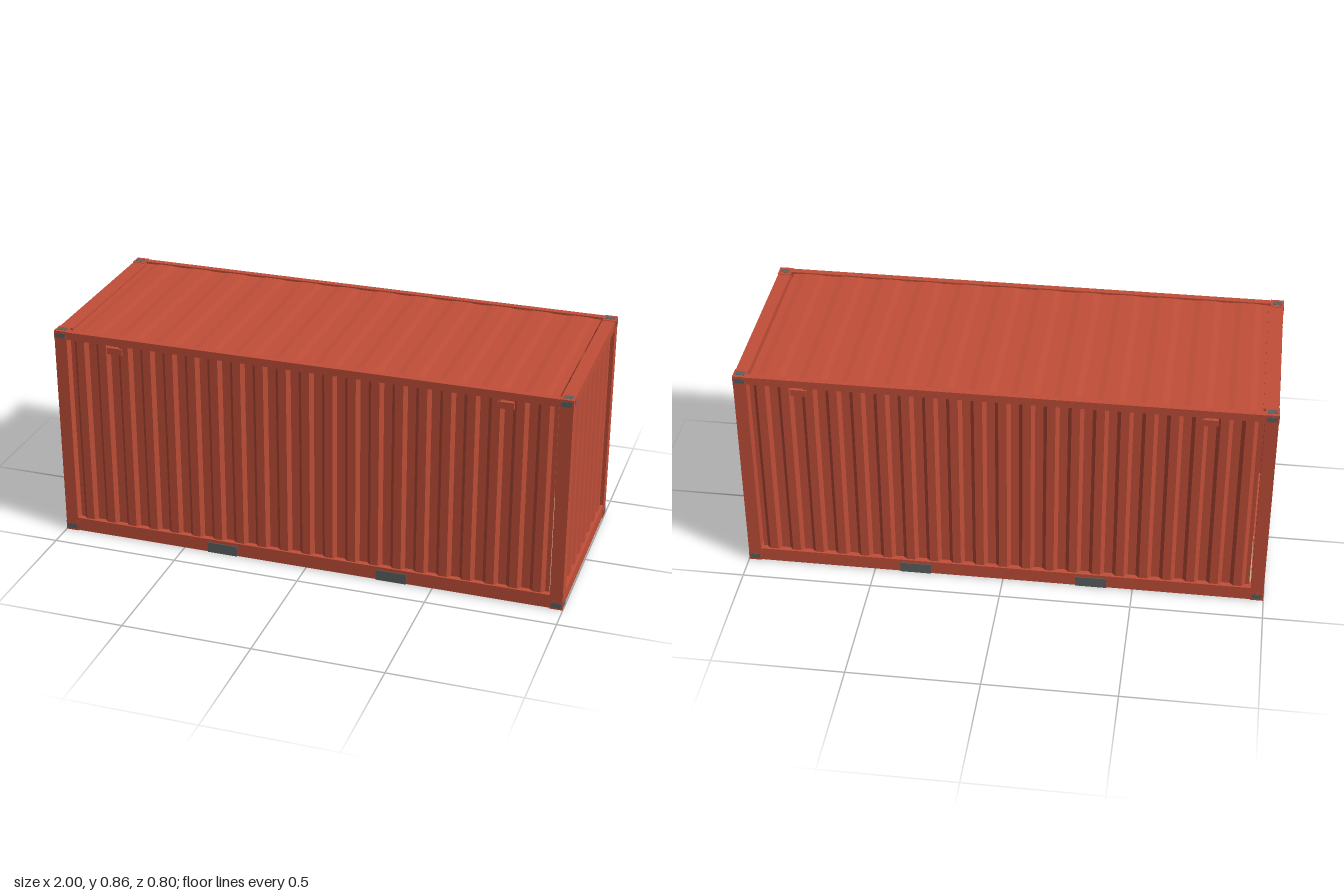
import * as THREE from 'three';

const material = (name, color) => {
  const m = new THREE.MeshStandardMaterial({ color });
  m.name = name;
  return m;
};

export function createModel() {
  const model = new THREE.Group();
  model.name = 'cargoContainer';
  const red = material('containerRed', 0xc24f39);
  const grey = material('fittingGrey', 0x5d6262);
  const dark = material('darkSteel', 0x464c4e);
  const wood = material('floorWood', 0xc2ab88);

  const add = (name, geometry, mat, parent = model) => {
    const mesh = new THREE.Mesh(geometry, mat);
    mesh.name = name;
    parent.add(mesh);
    return mesh;
  };
  // Box given by its lower and upper limits
  const box = (name, mat, [x0, x1], [y0, y1], [z0, z1], parent = model) => {
    const mesh = add(name, new THREE.BoxGeometry(x1 - x0, y1 - y0, z1 - z0), mat, parent);
    mesh.position.set((x0 + x1) / 2, (y0 + y1) / 2, (z0 + z1) / 2);
    return mesh;
  };
  // The same limits mirrored for the negative side
  const side = (s, a, b) => (s > 0 ? [a, b] : [-b, -a]);

  // Trapezoid-ribbed sheet: ribs run along the extrusion, ridges point to +y of the section
  const ribbedSheet = (length, periods, depth, extent) => {
    const p = length / periods, flat = p * 0.345, slope = p * 0.155, t = 0.004;
    const line = [[-length / 2, -depth]];
    for (let i = 0; i < periods; i++) {
      const x = -length / 2 + i * p + flat / 2;
      line.push([x, -depth], [x + slope, 0], [x + slope + flat, 0], [x + 2 * slope + flat, -depth]);
    }
    line.push([length / 2, -depth]);
    const back = line.map(([x, y]) => [x, y - t]).reverse();
    const shape = new THREE.Shape([...line, ...back].map(([x, y]) => new THREE.Vector2(x, y)));
    return new THREE.ExtrudeGeometry(shape, { depth: extent, bevelEnabled: false });
  };
  // Upright sheet standing on its origin with the ridges facing +z
  const ribbedWall = (length, periods, depth, height) =>
    ribbedSheet(length, periods, depth, height).rotateX(Math.PI / 2).translate(0, height, 0);

  // Side walls with vents and forklift pockets
  for (const s of [1, -1]) {
    const wall = add('sideWall', ribbedWall(1.884, 21, 0.014, 0.782), red);
    wall.position.set(0, 0.048, s * 0.39);
    wall.rotation.y = s > 0 ? 0 : Math.PI;
    box('bottomSideRail', red, [-0.95, 0.95], [0.003, 0.057], side(s, 0.36, 0.398));
    box('bottomRailFlange', red, [-0.95, 0.95], [0.003, 0.011], side(s, 0.335, 0.362));
    box('topSideRail', red, [-0.95, 0.95], [0.822, 0.852], side(s, 0.372, 0.398));
    for (const e of [1, -1]) {
      box('airVent', red, side(e, 0.725, 0.785), [0.785, 0.811], side(s, 0.38, 0.396));
      box('forkPocket', grey, side(e, 0.28, 0.4), [0.002, 0.044], side(s, 0.394, 0.401));
    }
  }

  // Corner posts and corner castings with openings on three faces
  for (const e of [1, -1]) for (const s of [1, -1]) {
    box('cornerPost', red, side(e, 0.949, 0.998), [0.03, 0.825], side(s, 0.35, 0.399));
    for (const top of [false, true]) {
      const y0 = top ? 0.817 : 0.001, corner = new THREE.Group();
      corner.name = 'cornerCasting';
      model.add(corner);
      box('castingBlock', red, side(e, 0.949, 0.999), [y0, y0 + 0.037], side(s, 0.348, 0.3995), corner);
      const h0 = top ? 0.826 : 0.009;
      box('endOpening', grey, side(e, 0.995, 1), [h0, h0 + 0.02], side(s, 0.364, 0.384), corner);
      box('sideOpening', grey, side(e, 0.955, 0.993), [h0, h0 + 0.02], side(s, 0.395, 0.401), corner);
      const hy = top ? [0.85, 0.855] : [0, 0.004];
      box('verticalOpening', grey, side(e, 0.956, 0.992), hy, side(s, 0.362, 0.386), corner);
    }
  }

  // Closed end wall and end frame beams
  const endWall = add('endWall', ribbedWall(0.704, 8, 0.014, 0.78), red);
  endWall.position.set(0.988, 0.045, 0);
  endWall.rotation.y = Math.PI / 2;
  for (const e of [1, -1]) {
    box('bottomEndBeam', red, side(e, 0.949, 0.997), [0.003, 0.057], [-0.355, 0.355]);
    box('topEndBeam', red, side(e, e > 0 ? 0.948 : 0.94, 0.997), [0.815, 0.852], [-0.355, 0.355]);
  }

  // Roof with shallow cross ribs
  const roof = add('roof', ribbedSheet(1.882, 12, 0.003, 0.756), red);
  roof.position.set(-0.002, 0.847, -0.378);

  // Floor boards on cross members
  box('floor', wood, [-0.95, 0.95], [0.044, 0.054], [-0.37, 0.37]);
  for (let i = 0; i < 6; i++) {
    const x = -0.75 + i * 0.3;
    box('crossMember', red, [x - 0.018, x + 0.018], [0.012, 0.046], [-0.362, 0.362]);
  }

  // Double doors with gaskets, lock rods, handles and hinges
  const doors = new THREE.Group();
  doors.name = 'doors';
  model.add(doors);
  for (const s of [1, -1]) {
    box('doorGasket', dark, [-0.972, -0.966], [0.056, 0.816], side(s, 0.001, 0.351), doors);
    const panel = add('doorPanel', ribbedWall(0.3, 3, 0.01, 0.71), red, doors);
    panel.position.set(-0.979, 0.082, s * 0.176);
    panel.rotation.y = -Math.PI / 2;
    for (const z of [0.003, 0.324]) {
      box('doorStile', red, [-0.983, -0.965], [0.058, 0.814], side(s, z, z + 0.025), doors);
    }
    for (const y of [0.058, 0.79]) {
      box('doorRail', red, [-0.983, -0.965], [y, y + 0.024], side(s, 0.003, 0.349), doors);
    }
    for (const z of [0.095, 0.255]) {
      const rod = add('lockRod', new THREE.CylinderGeometry(0.0045, 0.0045, 0.77, 8), dark, doors);
      rod.position.set(-0.99, 0.437, s * z);
      for (const y of [0.055, 0.8]) {
        box('rodKeeper', dark, [-0.999, -0.98], [y, y + 0.018], side(s, z - 0.012, z + 0.012), doors);
      }
      for (const y of [0.22, 0.62]) {
        box('rodBracket', dark, [-0.996, -0.976], [y, y + 0.012], side(s, z - 0.01, z + 0.01), doors);
      }
      box('lockHandle', dark, [-0.998, -0.991], [0.37, 0.381], side(s, z - 0.09, z + 0.01), doors);
      box('handleCatch', dark, [-0.995, -0.976], [0.364, 0.387], side(s, z - 0.085, z - 0.067), doors);
    }
    for (const y of [0.16, 0.355, 0.55, 0.74]) {
      box('hinge', dark, [-0.99, -0.978], [y - 0.009, y + 0.009], side(s, 0.312, 0.344), doors);
      const pin = add('hingePin', new THREE.CylinderGeometry(0.005, 0.005, 0.028, 8), dark, doors);
      pin.position.set(-0.988, y, s * 0.342);
    }
  }
  box('dataPlate', grey, [-0.99, -0.981], [0.52, 0.61], [-0.23, -0.135], doors);

  return model;
}
